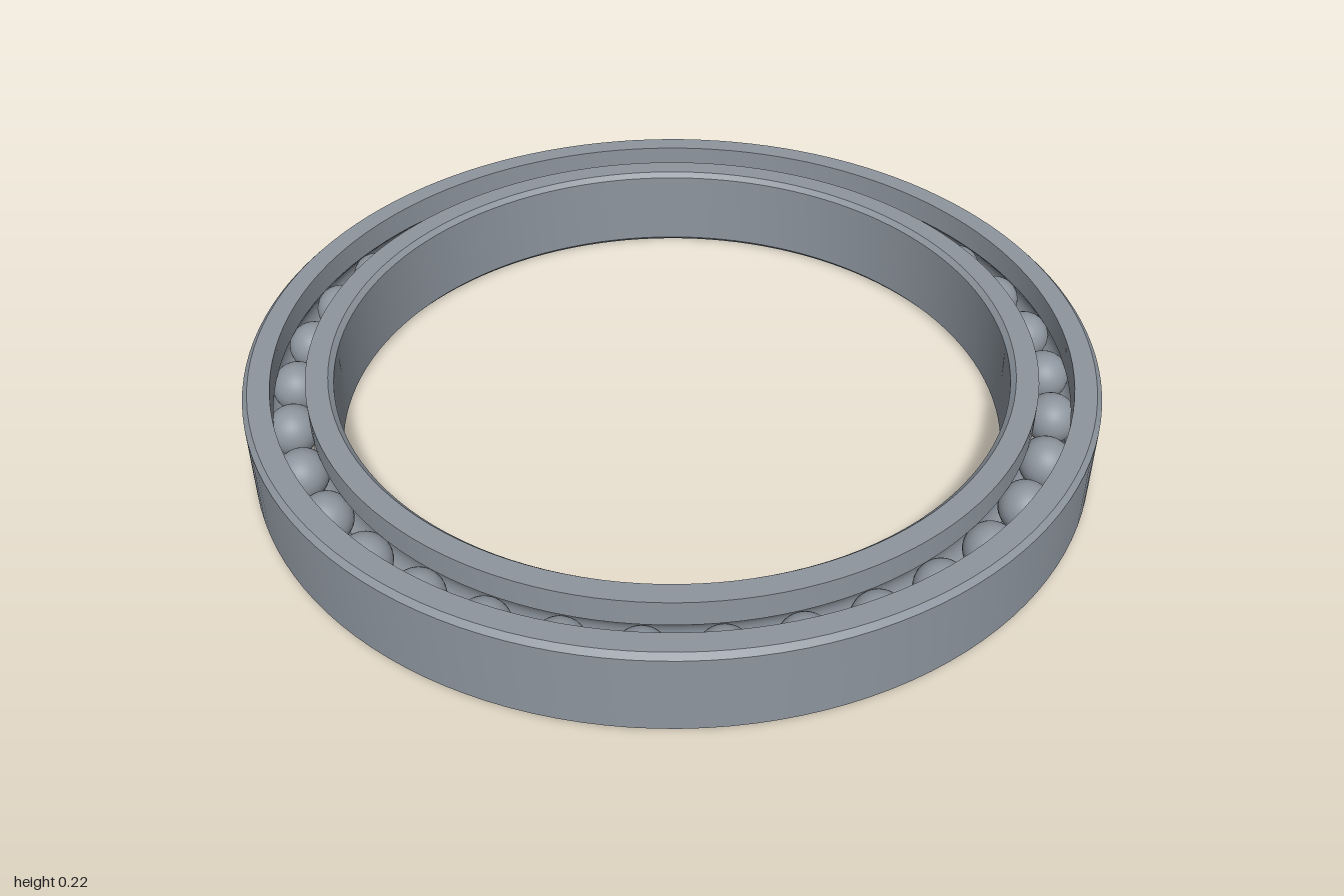
import * as THREE from 'three';
import { toCreasedNormals } from 'three/addons/utils/BufferGeometryUtils.js';

const HEIGHT = 0.216;
const PITCH = 0.897;      // radius of the circle the balls run on
const BALL = 0.06;
const GROOVE = 0.061;
const GAP = 0.04;         // distance from the pitch circle to each ring wall
const BALL_COUNT = 34;
const CHAMFER = 0.012;

// Groove cross-section; side +1 cuts the outer ring (run downwards), -1 the inner ring (run upwards)
function groove(side) {
  const half = Math.acos(GAP / GROOVE);
  const points = [];
  for (let i = 0; i <= 10; i++) {
    const a = side * half * (1 - i / 5);
    points.push([PITCH + side * GROOVE * Math.cos(a), HEIGHT / 2 + GROOVE * Math.sin(a)]);
  }
  return points;
}

// Revolve a closed profile, keeping its corners sharp
function ring(name, profile, material) {
  const points = [...profile, profile[0]].map(([x, y]) => new THREE.Vector2(x, y));
  const geometry = toCreasedNormals(new THREE.LatheGeometry(points, 128), Math.PI / 6);
  const mesh = new THREE.Mesh(geometry, material);
  mesh.name = name;
  return mesh;
}

export function createModel() {
  const model = new THREE.Group();
  model.name = 'ballBearing';
  const steel = new THREE.MeshStandardMaterial({ color: 0x8d959e });
  steel.name = 'steel grey';

  // Outer ring: chamfered outside, grooved inside
  const outerWall = PITCH + GAP;
  model.add(ring('outerRing', [
    [outerWall, 0], [1 - CHAMFER, 0], [1, CHAMFER],
    [1, HEIGHT - CHAMFER], [1 - CHAMFER, HEIGHT], [outerWall, HEIGHT],
    ...groove(1),
  ], steel));

  // Inner ring: grooved outside, chamfered at the bore
  const innerWall = PITCH - GAP;
  const bore = 0.793;
  model.add(ring('innerRing', [
    [bore + CHAMFER, 0], [innerWall, 0],
    ...groove(-1),
    [innerWall, HEIGHT], [bore + CHAMFER, HEIGHT],
    [bore, HEIGHT - CHAMFER], [bore, CHAMFER],
  ], steel));

  // Balls spaced evenly in the race
  const balls = new THREE.Group();
  balls.name = 'balls';
  const ballGeometry = new THREE.SphereGeometry(BALL, 32, 20);
  for (let i = 0; i < BALL_COUNT; i++) {
    const a = THREE.MathUtils.degToRad(1.5) + (i / BALL_COUNT) * Math.PI * 2;
    const ball = new THREE.Mesh(ballGeometry, steel);
    ball.name = 'ball';
    ball.position.set(PITCH * Math.cos(a), HEIGHT / 2, PITCH * Math.sin(a));
    balls.add(ball);
  }
  model.add(balls);
  return model;
}
